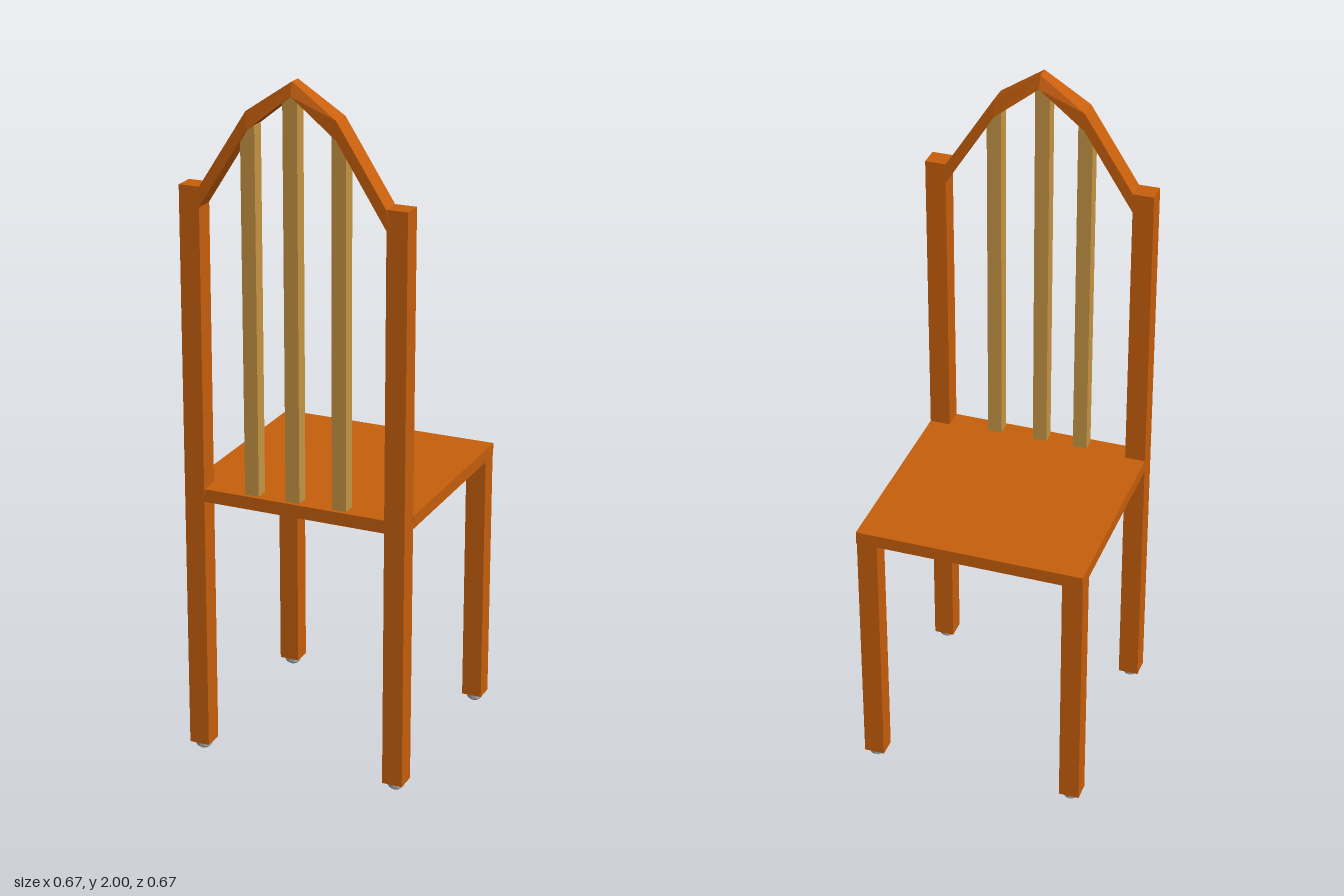
import * as THREE from 'three';

const paint = (color) => new THREE.MeshStandardMaterial({ color, flatShading: true });

export function createModel() {
  const chair = new THREE.Group();
  chair.name = 'chair';
  const wood = paint(0xc8600c);
  const slatWood = paint(0xc89645);
  const grey = paint(0xcccccc);

  const add = (name, geometry, material, x = 0, y = 0, z = 0) => {
    const mesh = new THREE.Mesh(geometry, material);
    mesh.name = name;
    mesh.position.set(x, y, z);
    chair.add(mesh);
    return mesh;
  };

  // Upright square bar from y0 to y1; lean shifts its top along z
  const bar = (name, material, width, depth, x, y0, y1, z, lean = 0) => {
    const geometry = new THREE.BoxGeometry(width, y1 - y0, depth);
    const p = geometry.attributes.position;
    for (let i = 0; i < p.count; i++) if (p.getY(i) > 0) p.setZ(i, p.getZ(i) + lean);
    geometry.computeVertexNormals();
    return add(name, geometry, material, x, (y0 + y1) / 2, z);
  };

  // Seat board, notched around the two back posts
  const outline = [
    [-0.333, -0.335], [0.333, -0.335], [0.333, 0.268], [0.273, 0.268],
    [0.273, 0.328], [-0.273, 0.328], [-0.273, 0.268], [-0.333, 0.268],
  ].map(([x, z]) => new THREE.Vector2(x, z));
  const seat = new THREE.ExtrudeGeometry(new THREE.Shape(outline), { depth: 0.038, bevelEnabled: false });
  seat.rotateX(Math.PI / 2);
  add('seat', seat, wood, 0, 0.82, 0);

  // Posts, short legs and rounded foot glides, mirrored in x
  const footProfile = [[0, 0], [0.014, 0], [0.023, 0.008], [0.028, 0.025], [0, 0.025]]
    .map(([r, y]) => new THREE.Vector2(r, y));
  for (const side of [-1, 1]) {
    const label = side > 0 ? 'left' : 'right';
    const x = side * 0.303;
    bar(label + 'BackPost', wood, 0.06, 0.06, x, 0.022, 1.69, 0.302, -0.007);
    bar(label + 'ShortLeg', wood, 0.06, 0.056, x, 0.022, 0.79, -0.303);
    for (const z of [0.302, -0.303]) {
      add(label + 'Foot', new THREE.LatheGeometry(footProfile, 12), grey, x, 0, z);
    }
  }

  // Three slats rising from the seat into the arch
  for (const [x, top] of [[-0.131, 1.87], [-0.007, 1.975], [0.133, 1.87]]) {
    bar('backSlat', slatWood, 0.042, 0.04, x, 0.8, top, 0.296);
  }

  // Pointed arch: four-cornered sections, narrowing on top at the peak
  const half = [
    { x: 0.275, low: 1.63, high: 1.685, d: 0.03 },
    { x: 0.13, low: 1.858, high: 1.911, d: 0.03 },
  ];
  const sections = [
    ...half.map((s) => ({ ...s, x: -s.x })),
    { x: 0, low: 1.962, high: 2, d: 0.018 },
    ...half.slice().reverse(),
  ];
  const zMid = 0.296;
  const rings = sections.map(({ x, low, high, d }) => [
    [x, low, zMid + 0.03], [x, high, zMid + d], [x, high, zMid - d], [x, low, zMid - 0.03],
  ]);
  const corners = [];
  const quad = (a, b, c, d) => corners.push(...a, ...b, ...c, ...a, ...c, ...d);
  for (let i = 0; i < rings.length - 1; i++) {
    for (let j = 0; j < 4; j++) {
      const k = (j + 1) % 4;
      quad(rings[i][j], rings[i + 1][j], rings[i + 1][k], rings[i][k]);
    }
  }
  quad(...rings[0]);
  quad(...rings[4].slice().reverse());
  const arch = new THREE.BufferGeometry();
  arch.setAttribute('position', new THREE.Float32BufferAttribute(corners, 3));
  arch.computeVertexNormals();
  add('backArch', arch, wood);

  return chair;
}
